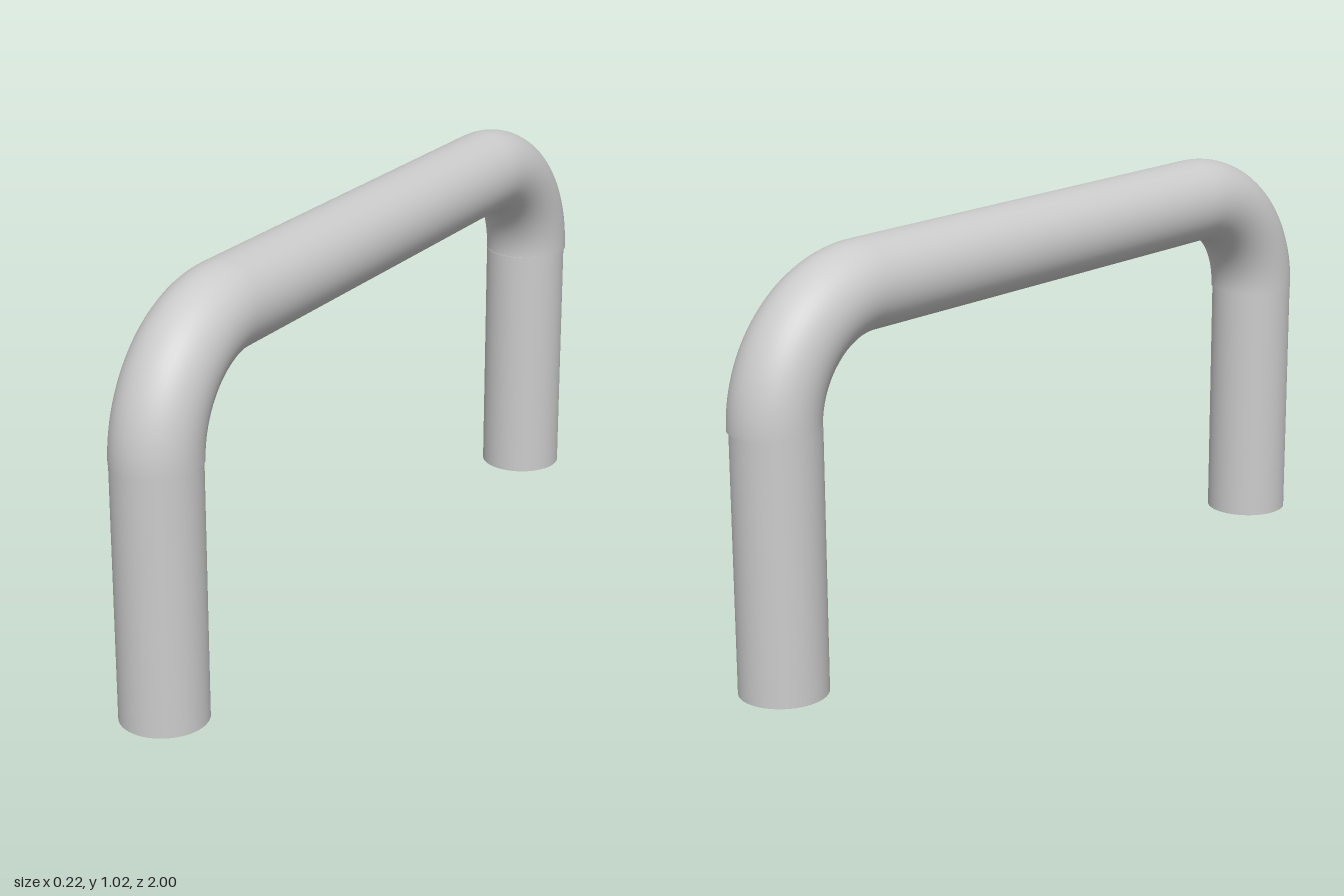
import * as THREE from 'three';

const BAR_R = 0.108;   // radius of the bar and bends
const LEG_R = 0.106;   // legs are a touch slimmer, leaving a fine seam
const BEND_R = 0.28;   // centreline radius of the bends
const LEG_H = 0.635;
const BEND_Z = 0.612;  // z of the bend centres
const SIDES = 48;

export function createModel() {
  const group = new THREE.Group();
  const material = new THREE.MeshStandardMaterial({ color: 0xcccccc });
  const add = (name, geometry) => {
    const mesh = new THREE.Mesh(geometry, material);
    mesh.name = name;
    group.add(mesh);
    return mesh;
  };

  // Straight grip between the two bends
  const grip = add('gripBar', new THREE.CylinderGeometry(BAR_R, BAR_R, BEND_Z * 2, SIDES, 1, true));
  grip.rotation.x = Math.PI / 2;
  grip.position.y = LEG_H + BEND_R;

  for (const [side, s, legZ] of [['front', 1, 0.893], ['back', -1, -0.888]]) {
    // Quarter-turn bend
    const bend = add(side + 'Bend', new THREE.TorusGeometry(BEND_R, BAR_R, SIDES, 32, Math.PI / 2));
    bend.rotation.y = -s * Math.PI / 2;
    bend.position.set(0, LEG_H, s * BEND_Z);

    // Upright leg with a flat foot
    const leg = add(side + 'Leg', new THREE.CylinderGeometry(LEG_R, LEG_R, LEG_H, SIDES));
    leg.position.set(0, LEG_H / 2, legZ);

    // Flat ring closing the underside of the bend around the leg
    const rim = add(side + 'BendRim', new THREE.CircleGeometry(BAR_R, SIDES));
    rim.rotation.x = Math.PI / 2;
    rim.position.set(0, LEG_H, s * (BEND_Z + BEND_R));
  }
  return group;
}
